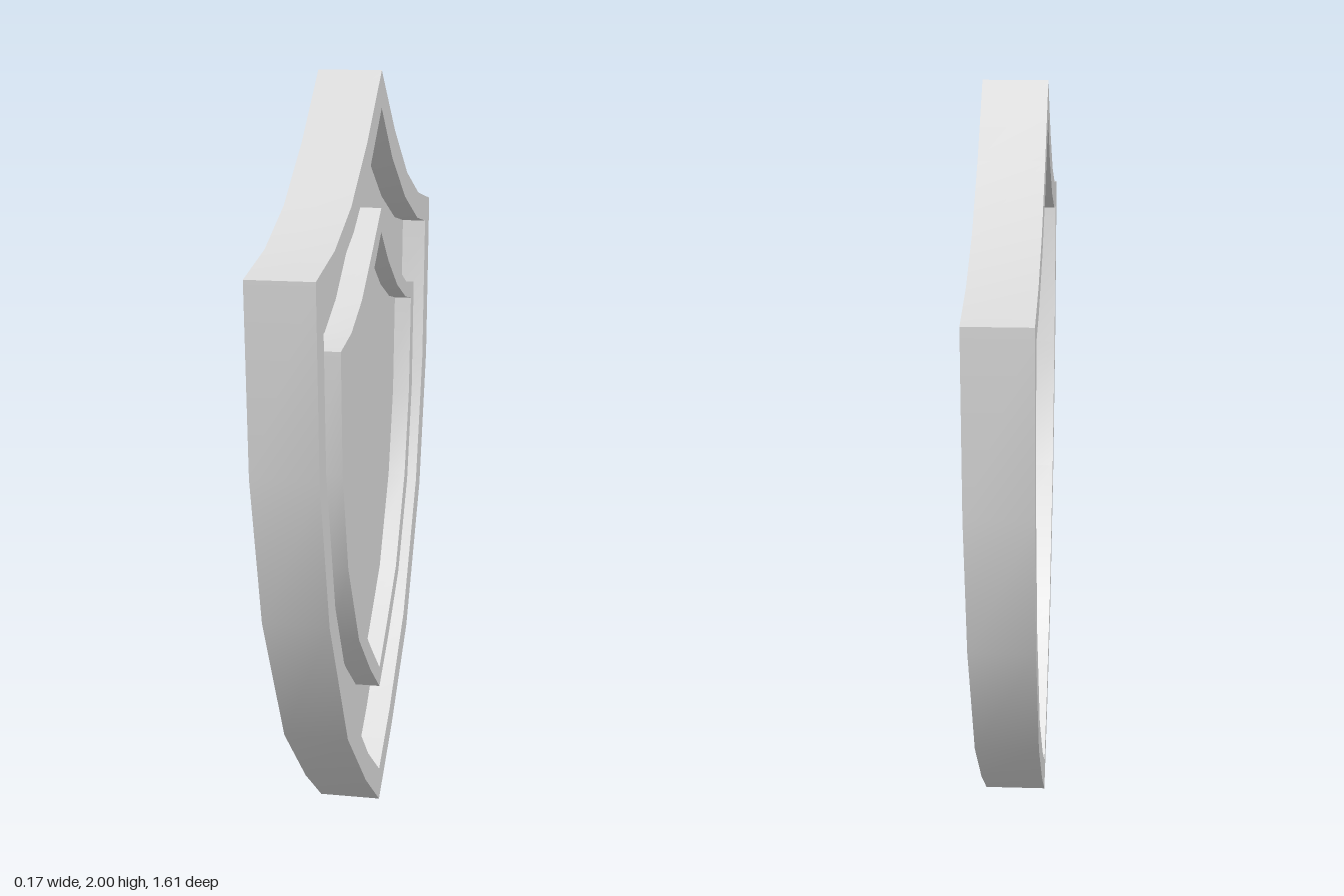
import * as THREE from 'three';
import { toCreasedNormals } from 'three/addons/utils/BufferGeometryUtils.js';

// Half outlines [z, y], from the top point down to the bottom point
const RIM_OUTER = [[0, 2], [0.2, 1.833], [0.403, 1.7], [0.6, 1.623], [0.806, 1.584],
  [0.775, 1.12], [0.668, 0.735], [0.446, 0.36], [0.2, 0.143], [0, 0]];
const RIM_INNER = [[0, 1.905], [0.16, 1.765], [0.37, 1.637], [0.585, 1.552], [0.73, 1.525],
  [0.702, 1.12], [0.6, 0.762], [0.393, 0.413], [0.165, 0.205], [0, 0.09]];
const RING_OUTER = [[0, 1.65], [0.138, 1.545], [0.265, 1.453], [0.4, 1.395], [0.53, 1.374],
  [0.51, 1.07], [0.44, 0.81], [0.297, 0.573], [0.138, 0.435], [0, 0.335]];
const RING_INNER = [[0, 1.587], [0.11, 1.497], [0.25, 1.41], [0.387, 1.355], [0.482, 1.335],
  [0.46, 1.07], [0.393, 0.835], [0.255, 0.6], [0.117, 0.483], [0, 0.39]];

// Mirror a half outline into a closed loop
function loop(half) {
  const mirrored = half.slice(1, -1).reverse().map(([z, y]) => [-z, y]);
  return [...half, ...mirrored].map(([z, y]) => new THREE.Vector2(z, y));
}

// Slab between x0 and x1 with an optional hole, which winds the opposite way
function slab(name, material, x0, x1, outer, inner) {
  const shape = new THREE.Shape(loop(outer));
  if (inner) shape.holes.push(new THREE.Path(loop(inner).reverse()));
  const extruded = new THREE.ExtrudeGeometry(shape, { depth: x1 - x0, bevelEnabled: false });
  extruded.translate(0, 0, x0);
  extruded.rotateY(Math.PI / 2);
  const geometry = toCreasedNormals(extruded, THREE.MathUtils.degToRad(40));
  geometry.clearGroups();
  const mesh = new THREE.Mesh(geometry, material);
  mesh.name = name;
  return mesh;
}

export function createModel() {
  const group = new THREE.Group();
  group.name = 'shield';
  const steel = new THREE.MeshStandardMaterial({ color: 0xd9d9d9 });
  steel.name = 'lightGrey';

  group.add(
    // Thick border
    slab('rim', steel, -0.0825, 0.0825, RIM_OUTER, RIM_INNER),
    // Thin plate closing the border
    slab('plate', steel, -0.016, 0.016, RIM_INNER),
    // Raised inner band, tall on one face and low on the other
    slab('innerRingTall', steel, 0.016, 0.0825, RING_OUTER, RING_INNER),
    slab('innerRingLow', steel, -0.036, -0.016, RING_OUTER, RING_INNER),
    // Panel filling the tall band part way
    slab('centrePanel', steel, 0.016, 0.036, RING_INNER),
  );
  return group;
}
